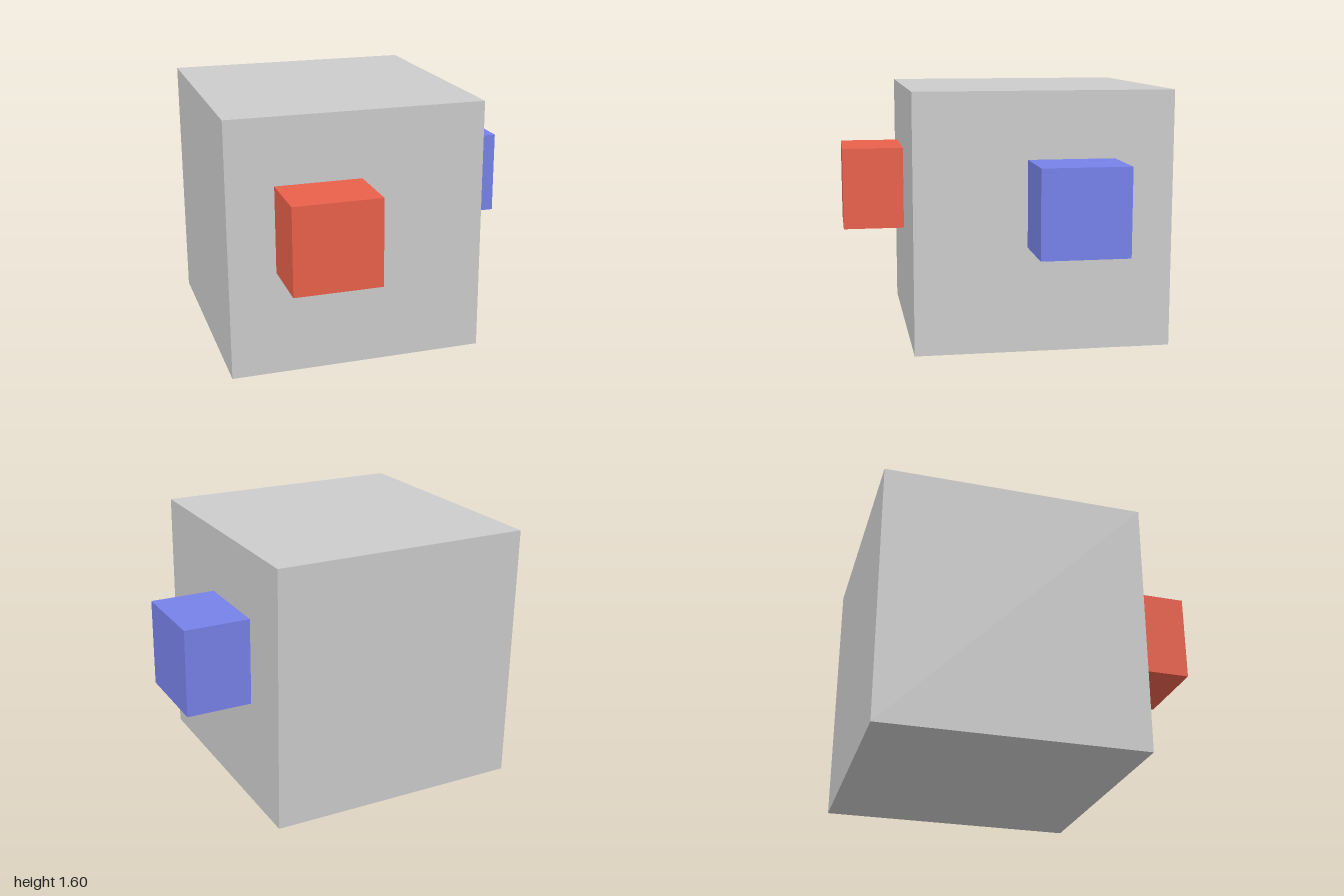
import * as THREE from 'three';

// Cube with a given edge length, centre and colour
function cube(name, size, position, color) {
  const mesh = new THREE.Mesh(
    new THREE.BoxGeometry(...size),
    new THREE.MeshStandardMaterial({ color, flatShading: true })
  );
  mesh.name = name;
  mesh.position.set(...position);
  return mesh;
}

export function createModel() {
  const group = new THREE.Group();
  group.name = 'blockWithKnobs';

  const knob = 0.535; // edge of the small cubes, partly sunk into the body
  const knobY = 0.92;

  group.add(
    // Main body
    cube('body', [1.597, 1.6, 1.597], [-0.2015, 0.8, -0.1985], 0xcccccc),
    // Red cube on the front face
    cube('frontKnob', [knob, knob, knob], [-0.444, knobY, 0.997 - knob / 2], 0xe8604a),
    // Blue cube on the left (+x) face
    cube('sideKnob', [knob, knob, knob], [1 - knob / 2, knobY, -0.361], 0x7681e8)
  );
  return group;
}
